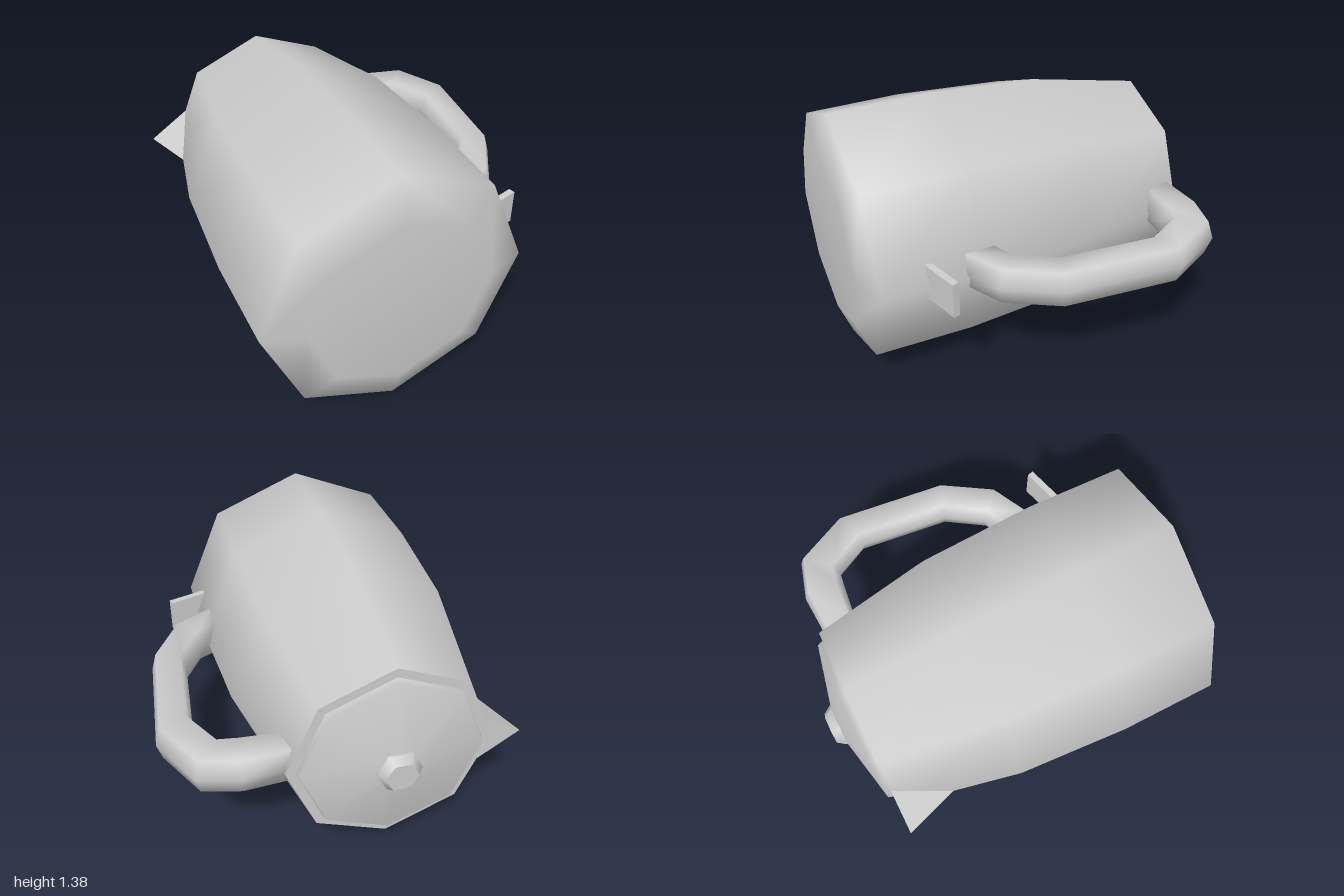
import * as THREE from 'three';
import { ConvexGeometry } from 'three/addons/geometries/ConvexGeometry.js';

const AXIS_X = -0.2, AXIS_Y = 0.69;
const grey = new THREE.MeshStandardMaterial({ color: 0xcccccc, side: THREE.DoubleSide });

function add(group, name, geometry) {
  const mesh = new THREE.Mesh(geometry, grey);
  mesh.name = name;
  group.add(mesh);
  return mesh;
}

// Turned part lying on its side: profile is [radius, z], listed from the base (+z) to the top (-z)
function turned(profile, sides) {
  const g = new THREE.LatheGeometry(profile.map(([r, z]) => new THREE.Vector2(r, -z)), sides);
  if (sides === 6) g.rotateY(Math.PI / 6); // corners point along x
  return g.rotateX(-Math.PI / 2).translate(AXIS_X, AXIS_Y, 0);
}

// Six-sided tube lofted through [outerX, outerZ, innerX, innerZ] sections
function handleGeometry(sections, y, halfHeight) {
  const ring = [[0, 0], [0.14, 1], [0.86, 1], [1, 0], [0.86, -1], [0.14, -1]]; // [outer to inner, height]
  const n = ring.length, pos = [], idx = [];
  for (const [ox, oz, ix, iz] of sections)
    for (const [t, h] of ring)
      pos.push(ox + (ix - ox) * t, y + h * halfHeight, oz + (iz - oz) * t);
  for (let s = 0; s < sections.length - 1; s++)
    for (let k = 0; k < n; k++) {
      const a = s * n + k, b = s * n + (k + 1) % n;
      idx.push(a, a + n, b, b, a + n, b + n);
    }
  // end caps
  const last = (sections.length - 1) * n;
  for (let k = 1; k < n - 1; k++) idx.push(0, k, k + 1, last, last + k + 1, last + k);
  const g = new THREE.BufferGeometry();
  g.setAttribute('position', new THREE.Float32BufferAttribute(pos, 3));
  g.setIndex(idx);
  g.computeVertexNormals();
  return g;
}

export function createModel() {
  const kettle = new THREE.Group();
  kettle.name = 'kettle';

  // Eight-sided body with bevelled base and tapering top
  add(kettle, 'body', turned([
    [0, 1], [0.48, 1], [0.683, 0.93], [0.69, 0.4], [0.655, -0.2], [0.525, -0.84],
  ], 8));
  add(kettle, 'rim', turned([[0.525, -0.84], [0.44, -0.841]], 8));

  // Shallow lid and knob
  add(kettle, 'lid', turned([[0.475, -0.84], [0.465, -0.872], [0.11, -0.952], [0, -0.955]], 8));
  add(kettle, 'knob', turned([[0.12, -0.945], [0.115, -0.96], [0.085, -1]], 6));
  add(kettle, 'knobTop', turned([[0.085, -1], [0, -1]], 6));

  // Pointed pouring lip opposite the handle
  add(kettle, 'spout', new ConvexGeometry([
    new THREE.Vector3(-0.88, AXIS_Y, -0.842),
    new THREE.Vector3(-0.783, AXIS_Y, -0.56),
    new THREE.Vector3(-0.665, AXIS_Y + 0.14, -0.842),
    new THREE.Vector3(-0.665, AXIS_Y - 0.14, -0.842),
  ]));

  // Angular looped handle
  add(kettle, 'handle', handleGeometry([
    [0.28, -0.825, 0.31, -0.64],
    [0.53, -0.843, 0.5, -0.62],
    [0.74, -0.785, 0.587, -0.61],
    [0.885, -0.495, 0.692, -0.415],
    [0.823, 0.125, 0.645, 0.065],
    [0.66, 0.395, 0.52, 0.26],
    [0.44, 0.51, 0.435, 0.295],
  ], 0.71, 0.097));

  // Small tilted switch below the handle
  const lever = add(kettle, 'switchLever', new THREE.BoxGeometry(0.215, 0.19, 0.036));
  lever.position.set(0.54, 0.71, 0.643);
  lever.rotation.y = 0.28;

  return kettle;
}
